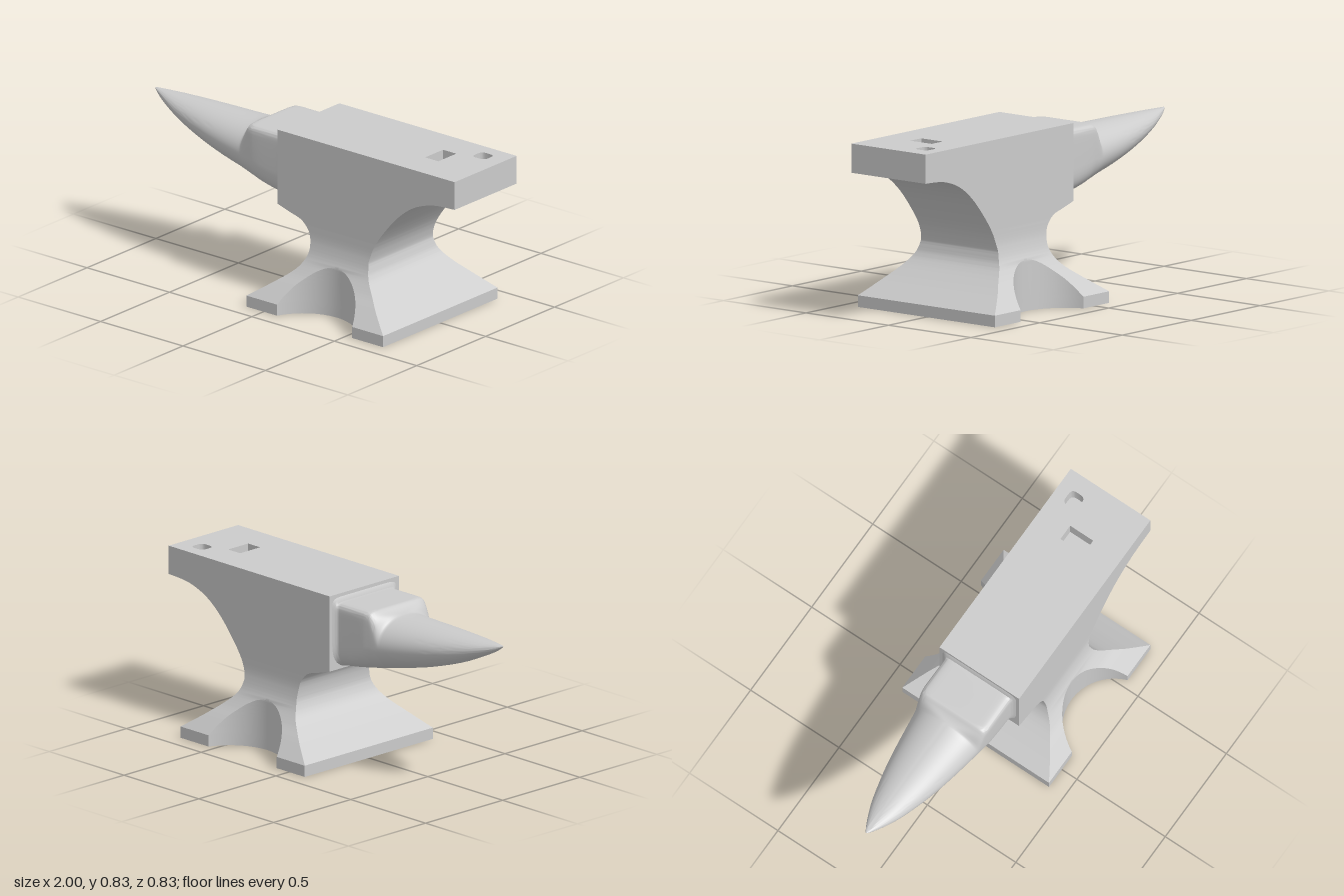
import * as THREE from 'three';
import { toCreasedNormals } from 'three/addons/utils/BufferGeometryUtils.js';

const TOP = 0.833, PLATE_Y = 0.75, HALF_DEPTH = 0.225;
const material = new THREE.MeshStandardMaterial({ color: 0xcccccc });

function addMesh(group, name, geometry, crease = 0.5) {
  const mesh = new THREE.Mesh(toCreasedNormals(geometry, crease), material);
  mesh.name = name;
  group.add(mesh);
}

// Smooth curve through [t, value] points: sampled points plus a lookup by t
function curve(points, samples = 48) {
  const pts = new THREE.SplineCurve(points.map(p => new THREE.Vector2(...p))).getPoints(samples);
  const at = t => {
    if (t <= pts[0].x) return pts[0].y;
    const i = pts.findIndex(p => p.x >= t);
    if (i < 0) return pts[pts.length - 1].y;
    const a = pts[i - 1], b = pts[i];
    return THREE.MathUtils.mapLinear(t, a.x, b.x, a.y, b.y);
  };
  return { at, ts: pts.map(p => p.x) };
}

// Closed skin over matching rings, counterclockwise seen from the last ring's side
function loft(rings) {
  const n = rings[0].length, index = [], last = (rings.length - 1) * n;
  for (let j = 0; j < rings.length - 1; j++) {
    for (let i = 0; i < n; i++) {
      const a = j * n + i, b = j * n + (i + 1) % n;
      index.push(a, b, b + n, a, b + n, a + n);
    }
  }
  for (let i = 0; i < n / 2 - 1; i++) {
    const p = i, q = i + 1, r = n - 2 - i, s = n - 1 - i;
    index.push(last + p, last + q, last + r, last + p, last + r, last + s);
    index.push(p, r, q, p, s, r);
  }
  const geometry = new THREE.BufferGeometry();
  geometry.setAttribute('position', new THREE.Float32BufferAttribute(rings.flat(2), 3));
  geometry.setIndex(index);
  return geometry;
}

const power = (v, n) => Math.sign(v) * Math.pow(Math.abs(v), 2 / n);

// Foot, waist and heel: plan outlines stacked upwards, with round notches in the foot
function bodyGeometry() {
  const left = curve([[0.055, -0.105], [0.135, 0.01], [0.2, 0.09], [0.262, 0.125], [0.315, 0.13],
    [0.375, 0.115], [0.42, 0.07], [0.442, 0], [0.465, -0.075]]);
  const right = curve([[0.055, 0.725], [0.14, 0.61], [0.225, 0.515], [0.285, 0.488], [0.325, 0.488],
    [0.395, 0.515], [0.48, 0.575], [0.575, 0.66], [0.645, 0.755], [0.685, 0.87], [0.695, 1]]);
  const half = curve([[0.055, 0.415], [0.13, 0.347], [0.187, 0.295], [0.255, 0.25], [0.33, 0.229], [0.4, HALF_DEPTH]]);
  const cx = 0.31, cz = 0.497, R = 0.242, steps = 20;

  const levels = [0, ...left.ts, ...right.ts, PLATE_Y].sort((a, b) => a - b)
    .filter((y, i, all) => i === 0 || y - all[i - 1] > 1e-5);
  return loft(levels.map(y => {
    const w = half.at(y);
    const chord = Math.sqrt(Math.max(R * R - (cz - w) ** 2, 0.0004));
    const front = [[left.at(y), y, w]];
    for (let i = 0; i <= steps; i++) {
      const dx = -chord * Math.cos(Math.PI * i / steps);
      front.push([cx + dx, y, Math.min(w, cz - Math.sqrt(R * R - dx * dx))]);
    }
    front.push([right.at(y), y, w]);
    return [...front, ...front.map(([x, h, z]) => [x, h, -z]).reverse()];
  }));
}

// Working face with a square pocket and a smaller rounded one
function faceGeometry() {
  const rect = (x0, x1, y0, y1) => [[x0, y0], [x1, y0], [x1, y1], [x0, y1]].map(p => new THREE.Vector2(...p));
  const shape = new THREE.Shape(rect(-0.075, 1, -HALF_DEPTH, HALF_DEPTH));
  const rounded = Array.from({ length: 24 }, (_, i) => {
    const a = i / 24 * Math.PI * 2;
    return new THREE.Vector2(0.88 + 0.039 * power(Math.cos(a), 3.5), 0.125 + 0.038 * power(Math.sin(a), 3.5));
  });
  shape.holes.push(new THREE.Path(rect(0.686, 0.766, -0.063, 0.067)), new THREE.Path(rounded));
  return new THREE.ExtrudeGeometry(shape, { depth: TOP - PLATE_Y, bevelEnabled: false })
    .rotateX(-Math.PI / 2).translate(0, PLATE_Y, 0);
}

// Horn: round sections that turn into a squared step next to the body
function hornGeometry() {
  const bottom = curve([[-1, 0.748], [-0.97, 0.725], [-0.9, 0.687], [-0.74, 0.615], [-0.525, 0.545],
    [-0.31, 0.497], [-0.07, 0.463]]);
  const width = curve([[-1, 0.004], [-0.97, 0.022], [-0.9, 0.055], [-0.8, 0.09], [-0.6, 0.138],
    [-0.3, 0.183], [-0.2, 0.187], [-0.1, 0.187], [-0.088, 0.191], [-0.08, 0.2], [-0.07, 0.218]], 120);
  const top = curve([[-1, 0.755], [-0.7, 0.757], [-0.4, 0.758], [-0.34, 0.764], [-0.31, 0.777], [-0.295, 0.79],
    [-0.28, 0.793], [-0.1, 0.793], [-0.088, 0.797], [-0.08, 0.808], [-0.07, 0.826]], 120);

  const stations = [-1, -0.99, -0.97, -0.94];
  for (let x = -0.9; x < -0.37; x += 0.04) stations.push(x);
  for (let x = -0.36; x < -0.25; x += 0.008) stations.push(x);
  stations.push(-0.22, -0.17, -0.12, -0.1, -0.094, -0.088, -0.084, -0.08, -0.075, -0.07);

  const segments = 64;
  return loft(stations.map(x => {
    const t = top.at(x), b = bottom.at(x), w = width.at(x);
    const nTop = 2 + 10 * THREE.MathUtils.smoothstep(x, -0.35, -0.26);
    const nBottom = 2 + 1.6 * THREE.MathUtils.smoothstep(x, -0.4, -0.1);
    return Array.from({ length: segments }, (_, i) => {
      const a = (i + 0.5) / segments * Math.PI * 2;
      const n = Math.cos(a) > 0 ? nTop : nBottom;
      return [x, (t + b) / 2 + (t - b) / 2 * power(Math.cos(a), n), w * power(Math.sin(a), n)];
    });
  }));
}

export function createModel() {
  const group = new THREE.Group();
  group.name = 'anvil';
  addMesh(group, 'body', bodyGeometry());
  addMesh(group, 'face', faceGeometry());
  addMesh(group, 'horn', hornGeometry(), 0.8);
  return group;
}
